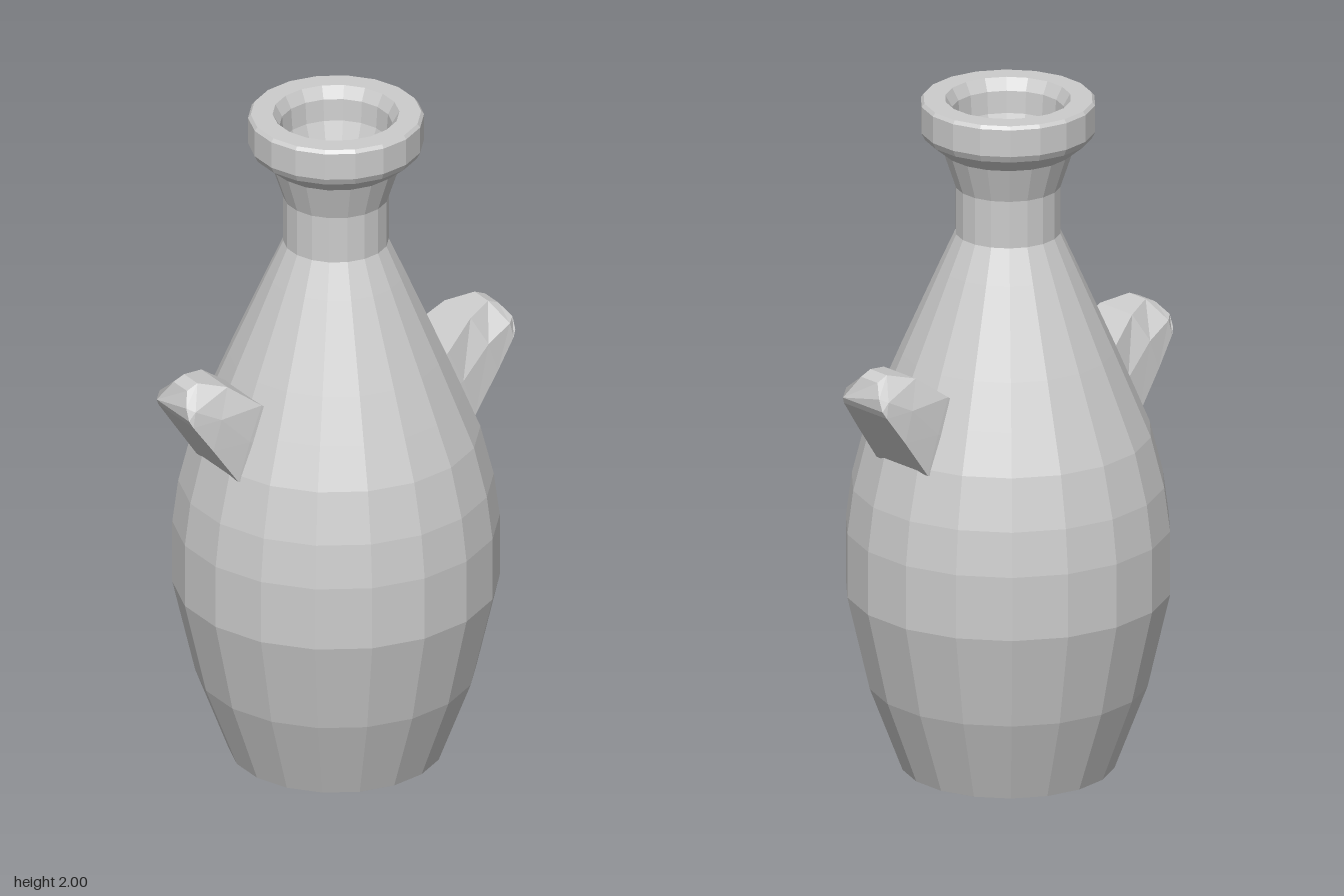
import * as THREE from 'three';

const material = new THREE.MeshStandardMaterial({ color: 0xcccccc, flatShading: true });

// Hollow vase turned in 18 facets: base, outer wall, rim, inner wall, inner floor
function makeBody() {
  const profile = [
    [0, 0], [0.305, 0], [0.4, 0.25], [0.465, 0.53], [0.465, 0.72], [0.448, 0.85],
    [0.41, 1.0], [0.36, 1.12], [0.305, 1.25], [0.195, 1.5], [0.15, 1.6], [0.15, 1.74],
    [0.185, 1.845], [0.24, 1.89], [0.25, 1.91], [0.25, 1.99], [0.242, 2],
    [0.18, 2], [0.16, 1.965], [0.155, 1.9], [0.1, 1.75], [0.1, 1.6], [0.145, 1.5],
    [0.25, 1.25], [0.35, 1.0], [0.41, 0.72], [0.41, 0.53], [0.34, 0.25], [0.26, 0.05], [0, 0.05],
  ].map(([r, y]) => new THREE.Vector2(r, y));
  const body = new THREE.Mesh(new THREE.LatheGeometry(profile, 18), material);
  body.name = 'body';
  return body;
}

// Tapered lug lofted through six-sided sections from the wall to the tip.
// Each section lists its lower, middle and upper edge as [x, y, half width].
function makeLugGeometry() {
  const sections = [
    [[0.36, 0.975, 0.11], [0.32, 1.08, 0.108], [0.275, 1.17, 0.1]],
    [[0.4, 0.985, 0.11], [0.36, 1.1, 0.108], [0.315, 1.2, 0.1]],
    [[0.48, 1.1, 0.103], [0.45, 1.19, 0.1], [0.41, 1.27, 0.068]],
    [[0.54, 1.185, 0.092], [0.53, 1.23, 0.088], [0.49, 1.29, 0.035]],
    [[0.55, 1.205, 0.085], [0.55, 1.24, 0.07], [0.525, 1.275, 0.035]],
  ];
  const positions = [];
  for (const s of sections) {
    for (const [x, y, z] of s) positions.push(x, y, z);
    for (const [x, y, z] of [...s].reverse()) positions.push(x, y, -z);
  }
  const index = [];
  const last = (sections.length - 1) * 6;
  for (let s = 0; s < last; s += 6) {
    for (let i = 0; i < 6; i++) {
      const a = s + i, b = s + (i + 1) % 6;
      index.push(a, a + 6, b + 6, a, b + 6, b);
    }
  }
  // End caps
  for (let i = 1; i < 5; i++) {
    index.push(0, i, i + 1);
    index.push(last, last + i + 1, last + i);
  }
  const geometry = new THREE.BufferGeometry();
  geometry.setAttribute('position', new THREE.Float32BufferAttribute(positions, 3));
  geometry.setIndex(index);
  geometry.computeVertexNormals();
  return geometry;
}

export function createModel() {
  const model = new THREE.Group();
  model.name = 'vase';
  model.add(makeBody());

  // Matching lugs on both shoulders
  const lug = makeLugGeometry();
  ['leftHandle', 'rightHandle'].forEach((name, i) => {
    const handle = new THREE.Mesh(lug, material);
    handle.name = name;
    handle.rotation.y = i * Math.PI;
    model.add(handle);
  });
  return model;
}
